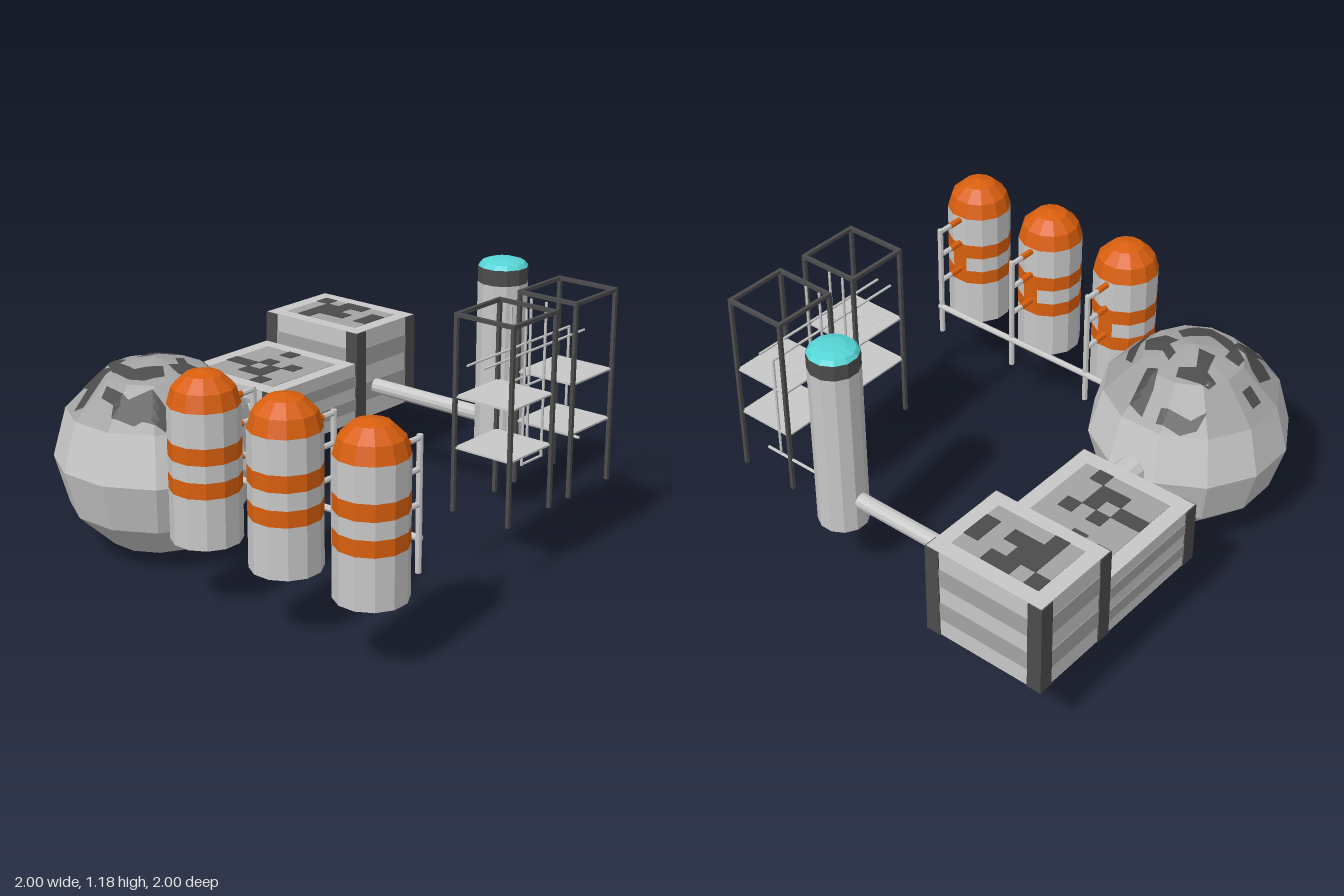
import * as THREE from 'three';

const material = (name, color) => {
  const m = new THREE.MeshStandardMaterial({ color });
  m.name = name;
  return m;
};
const light = material('lightGrey', 0xc8c8c8);
const mid = material('midGrey', 0xa3a3a3);
const dark = material('darkGrey', 0x4c4c4c);
const orange = material('orange', 0xd95f0e);
const cyan = material('cyan', 0x55d4d6);

const DEG = Math.PI / 180;
const FIT = 1 / Math.cos(15 * DEG); // makes 12-sided shapes as wide across flats as their radius

export function createModel() {
  const model = new THREE.Group();
  model.name = 'storagePlant';

  // Adds a faceted mesh
  const add = (name, geo, mat, x = 0, y = 0, z = 0, parent = model) => {
    const flat = geo.index ? geo.toNonIndexed() : geo;
    flat.computeVertexNormals();
    const mesh = new THREE.Mesh(flat, mat);
    mesh.name = name;
    mesh.position.set(x, y, z);
    parent.add(mesh);
    return mesh;
  };
  const group = (name, x = 0, y = 0, z = 0) => {
    const g = new THREE.Group();
    g.name = name;
    g.position.set(x, y, z);
    model.add(g);
    return g;
  };
  // Box between two corners
  const block = (name, mat, a, b, parent) => add(name,
    new THREE.BoxGeometry(b[0] - a[0], b[1] - a[1], b[2] - a[2]), mat,
    (a[0] + b[0]) / 2, (a[1] + b[1]) / 2, (a[2] + b[2]) / 2, parent);
  // Straight pipe between two points
  const pipe = (name, mat, a, b, r, parent, sides = 8) => {
    const p = new THREE.Vector3(...a), q = new THREE.Vector3(...b);
    const d = q.clone().sub(p), c = p.clone().add(q).multiplyScalar(0.5);
    const m = add(name, new THREE.CylinderGeometry(r, r, d.length(), sides), mat, c.x, c.y, c.z, parent);
    m.quaternion.setFromUnitVectors(new THREE.Vector3(0, 1, 0), d.normalize());
  };
  // Part of a 12-sided drum wall, or a whole capped drum
  const drum = (name, mat, r, y0, y1, parent, start = 15, length = 360) => add(name,
    new THREE.CylinderGeometry(r * FIT, r * FIT, y1 - y0, length / 30, 1, length < 360, start * DEG, length * DEG),
    mat, 0, (y0 + y1) / 2, 0, parent);
  // Horizontal slice of a 12-sided ball
  const ball = (name, mat, r, ry, rows, t0, t1, y, parent) => {
    const geo = new THREE.SphereGeometry(r, 12, rows, 15 * DEG, Math.PI * 2, t0 * DEG, (t1 - t0) * DEG);
    geo.scale(FIT, ry / r, FIT);
    return add(name, geo, mat, 0, y, 0, parent);
  };

  // Spherical vessel
  const R = 0.428;
  const sphere = group('sphereVessel', -0.573, 0.43, 0.57);
  ball('sphereShell', light, R, 0.43, 4, 60, 180, 0, sphere);
  ball('sphereCap', mid, R, 0.43, 2, 0, 60, 0, sphere);

  // Height of the faceted cap above a point
  const capHeight = (x, z) => {
    let a = 0;
    for (let k = 0; k < 12; k++) a = Math.max(a, x * Math.cos(k * 30 * DEG) + z * Math.sin(k * 30 * DEG));
    for (let t = 0; t < 90; t += 30) {
      const a0 = R * Math.sin(t * DEG), a1 = R * Math.sin((t + 30) * DEG);
      if (a <= a1) {
        const f = (a - a0) / (a1 - a0);
        return 0.43 * (Math.cos(t * DEG) * (1 - f) + Math.cos((t + 30) * DEG) * f);
      }
    }
    return 0;
  };
  // Outlines of the cap patches in hundredths, x and z seen from above
  const patches = [
    [-22, -28, -17, -33, -6, -35, -5, -30, -18, -27, -22, -21],
    [1, -35, 9, -33, 10, -20, 5, -19, 2, -26],
    [-18, -15, -4, -19, -2, -14, -8, -10, -3, -1, -10, 1, -13, -9, -19, -11],
    [4, -13, 10, -9, 18, -11, 22, -4, 16, 2, 8, 0, 10, -4, 4, -8],
    [20, -17, 26, -13, 30, -4, 31, 5, 32, 14, 26, 16, 20, 10, 26, 7, 24, -4],
    [-33, -3, -27, -3, -27, 3, -33, 3],
    [-28, 9, -23, 10, -17, 14, -10, 14, -10, 32, -16, 32, -17, 23, -27, 20],
    [-20, 4, -13, 4, -12, 9, 0, 12, 8, 3, 14, 8, 10, 16, 4, 19, -8, 17, -19, 10],
    [-4, 24, 10, 25, 16, 17, 30, 17, 31, 22, 20, 27, 18, 30, 8, 33, 5, 29, -3, 28],
  ];
  // Each patch is split into small triangles and draped over the cap
  const draped = [];
  const drape = (a, b, c) => {
    const ab = a.distanceTo(b), bc = b.distanceTo(c), ca = c.distanceTo(a);
    const longest = Math.max(ab, bc, ca);
    if (longest > 0.04) {
      if (bc === longest) [a, b, c] = [b, c, a];
      else if (ca === longest) [a, b, c] = [c, a, b];
      const m = a.clone().lerp(b, 0.5);
      drape(a, m, c);
      drape(m, b, c);
    } else {
      for (const p of [a, b, c]) draped.push(p.x, capHeight(p.x, -p.y) + 0.005, -p.y);
    }
  };
  for (const outline of patches) {
    const pts = [];
    for (let i = 0; i < outline.length; i += 2) pts.push(new THREE.Vector2(outline[i] / 100, -outline[i + 1] / 100));
    const flat = new THREE.ShapeGeometry(new THREE.Shape(pts)).toNonIndexed().attributes.position;
    const v = (i) => new THREE.Vector3().fromBufferAttribute(flat, i);
    for (let i = 0; i < flat.count; i += 3) drape(v(i), v(i + 1), v(i + 2));
  }
  const patchGeo = new THREE.BufferGeometry();
  patchGeo.setAttribute('position', new THREE.Float32BufferAttribute(draped, 3));
  add('capPatches', patchGeo, dark, 0, 0, 0, sphere);

  // Two container blocks with banded walls, dark corners and patched roofs
  const container = (name, z0, z1, top, corners, panelZ, rows) => {
    const g = group(name);
    const x0 = -1, x1 = -0.43, y0 = 0.29, e = 0.005, w = 0.067, band = (top - y0) / 5;
    block('containerBody', light, [x0 + e, y0, z0 + e], [x1 - e, top, z1 - e], g);
    for (const i of [1, 3]) {
      block('wallBand', mid, [x0 + 0.002, y0 + i * band, z0 + 0.002], [x1 - 0.002, y0 + (i + 1) * band, z1 - 0.002], g);
    }
    for (const z of corners) for (const x of [x0, x1 - w]) {
      block('cornerStrip', dark, [x, y0, z], [x + w, top - 0.002, z + w], g);
    }
    const cell = 0.0708, px = -0.925;
    block('roofPanel', mid, [px, top - 0.002, panelZ], [px + 6 * cell, top + 0.002, panelZ + rows.length * cell], g);
    rows.forEach((row, j) => [...row].forEach((c, i) => {
      if (c !== '#') return;
      const x = px + i * cell, z = panelZ + j * cell;
      block('roofPatch', dark, [x, top, z], [x + cell, top + 0.005, z + cell], g);
    }));
  };
  container('rearContainer', -1, -0.573, 0.72, [-1, -0.573 - 0.067], -0.925,
    ['#.##..', '.##..#', '.###.#', '.#....']);
  container('frontContainer', -0.573, 0, 0.575, [-0.067], -0.5,
    ['..#...', '......', '..#.#.', '##.#..', '..##..', '....#.']);

  // Connecting pipes
  pipe('spherePipe', light, [-0.573, 0.432, -0.02], [-0.573, 0.432, 0.17], 0.07, model, 12);
  pipe('columnPipe', light, [-0.45, 0.432, -0.717], [0.2, 0.432, -0.717], 0.035, model, 12);

  // Tall column with a domed cap
  const column = group('column', 0.285, 0, -0.717);
  drum('columnShaft', light, 0.107, 0.29, 1.075, column);
  drum('columnCollar', dark, 0.107, 1.075, 1.145, column);
  ball('columnDome', cyan, 0.106, 0.036, 3, 0, 90, 1.145, column);

  // Row of three tanks with their back piping
  for (const x of [0, 0.43, 0.857]) {
    const tank = group('tank', x, 0, 0.857);
    const r = 0.143;
    drum('tankLower', light, r, 0.29, 0.507, tank);
    drum('tankBandLow', orange, r, 0.507, 0.575, tank);
    drum('tankWaist', light, r, 0.575, 0.647, tank, 195, 330);
    drum('tankBandLink', orange, r, 0.575, 0.647, tank, 165, 30);
    drum('tankBandHigh', orange, r, 0.647, 0.717, tank);
    drum('tankUpper', light, r, 0.717, 0.86, tank);
    ball('tankDome', orange, r, 0.14, 3, 0, 90, 0.86, tank);
    pipe('tankRiser', light, [0, 0.29, -0.28], [0, 0.855, -0.28], 0.013, tank);
    for (const y of [0.842, 0.717, 0.575]) {
      pipe('branchEnd', orange, [0, y, -0.13], [0, y, -0.212], 0.014, tank);
      pipe('branch', light, [0, y, -0.212], [0, y, -0.28], 0.012, tank);
    }
  }
  pipe('tankManifold', light, [-0.18, 0.432, 0.572], [0.865, 0.432, 0.572], 0.014);

  // Two open scaffolds with decks
  const X0 = 0.58, X1 = 0.86, b = 0.008;
  for (const [z0, z1] of [[-0.722, -0.432], [-0.29, 0]]) {
    const s = group('scaffold');
    for (const x of [X0, X1]) {
      for (const z of [z0, z1]) block('post', dark, [x - b, 0.29, z - b], [x + b, 1.145, z + b], s);
      block('topRail', dark, [x - b, 1.13, z0 - b], [x + b, 1.146, z1 + b], s);
    }
    for (const z of [z0, z1]) block('topRail', dark, [X0, 1.13, z - b], [X1, 1.146, z + b], s);
    for (const y of [0.57, 0.79]) block('deck', light, [X0, y - 0.004, z0], [X1, y + 0.004, z1], s);
  }

  // Thin pipes running through the scaffolds
  const lines = group('thinPipes');
  for (const x of [0.64, 0.715]) {
    for (const z of [-0.29, -0.43]) pipe('verticalLine', light, [x, 0.44, z], [x, 1.12, z], 0.006, lines, 6);
    pipe('lowerLine', light, [x, 0.445, -0.43], [x, 0.445, -0.29], 0.006, lines, 6);
    for (const y of [0.935, 0.79]) pipe('upperLine', light, [x, y, -0.72], [x, y, 0], 0.006, lines, 6);
  }
  pipe('feedLine', light, [0.43, 0.445, -0.717], [0.715, 0.445, -0.717], 0.007, lines, 6);
  pipe('feedRiser', light, [0.64, 0.445, -0.717], [0.64, 0.935, -0.717], 0.006, lines, 6);

  return model;
}
